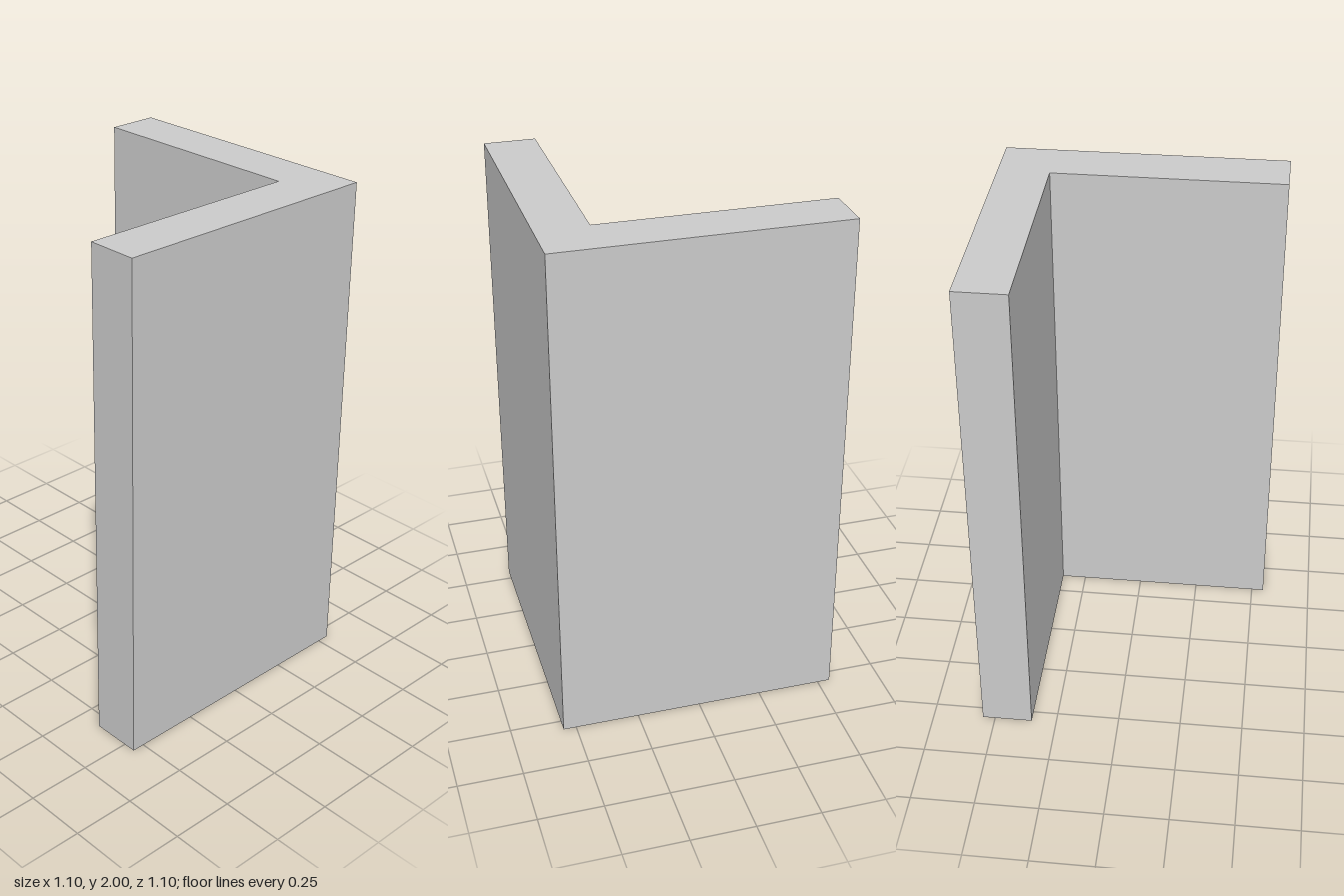
import * as THREE from 'three';

const HEIGHT = 2;
const HALF = 0.55; // half the outer width of each leg
const INNER = 0.35; // position of the inner faces

export function createModel() {
  const group = new THREE.Group();
  group.name = 'angleProfile';

  // L-shaped cross-section, drawn with shape y = -z
  const section = new THREE.Shape([
    new THREE.Vector2(-HALF, -HALF),
    new THREE.Vector2(HALF, -HALF),
    new THREE.Vector2(HALF, HALF),
    new THREE.Vector2(INNER, HALF),
    new THREE.Vector2(INNER, -INNER),
    new THREE.Vector2(-HALF, -INNER),
  ]);

  // Extruded and stood upright
  const geometry = new THREE.ExtrudeGeometry(section, { depth: HEIGHT, bevelEnabled: false });
  geometry.rotateX(-Math.PI / 2);

  const wall = new THREE.Mesh(geometry, new THREE.MeshStandardMaterial({ color: 0xcccccc }));
  wall.name = 'cornerWall';
  group.add(wall);
  return group;
}
